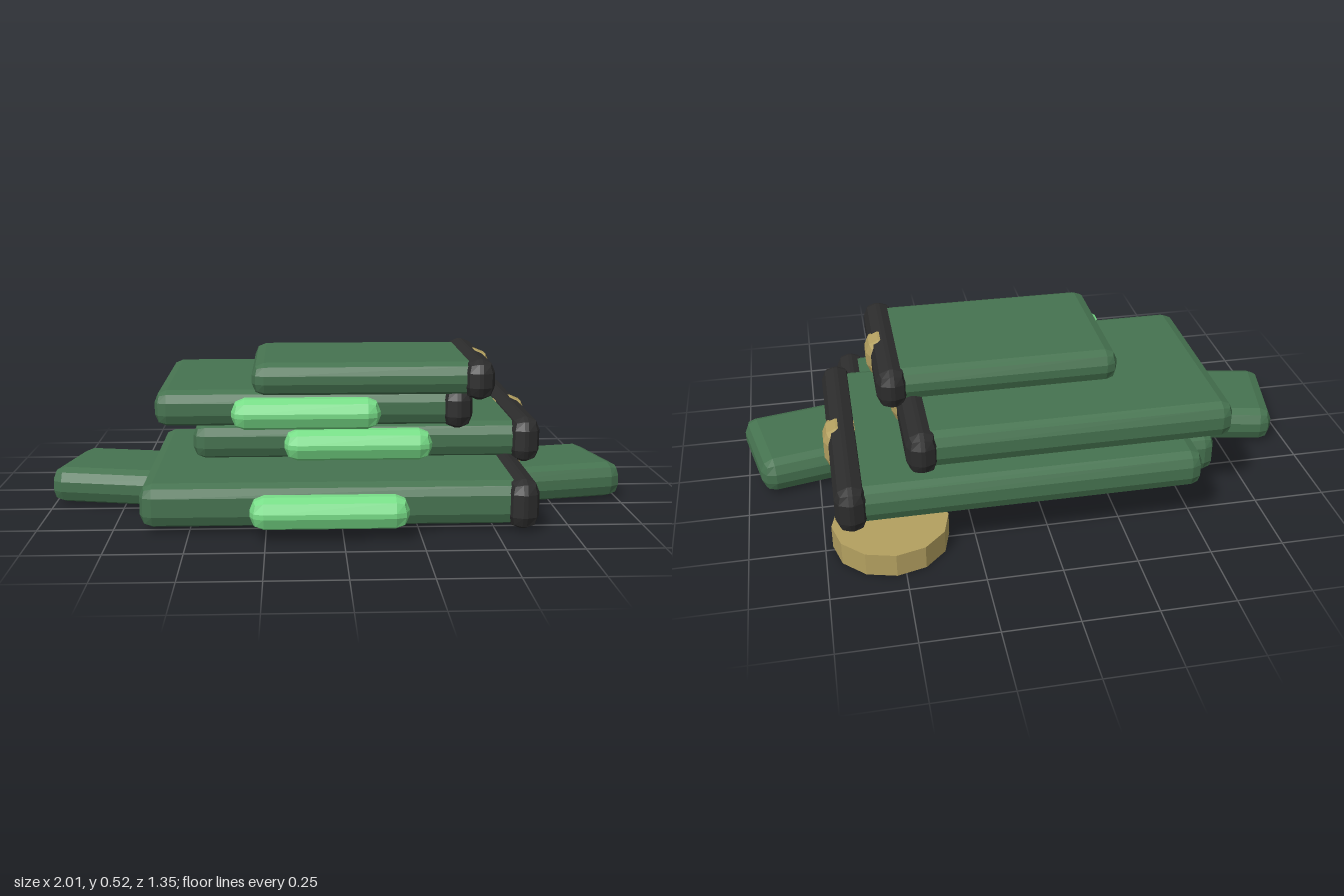
import * as THREE from 'three';
import { RoundedBoxGeometry } from 'three/addons/geometries/RoundedBoxGeometry.js';

const mat = (name, color) => {
  const m = new THREE.MeshStandardMaterial({ color });
  m.name = name;
  return m;
};

export function createModel() {
  const green = mat('cover green', 0x467350);
  const mint = mat('label mint', 0x78de88);
  const gold = mat('band gold', 0xb3a060);
  const black = mat('spine black', 0x2c2c2c);

  // Faceted box with two-step bevels, given by its min/max on each axis
  const block = (name, material, [x0, x1], [y0, y1], [z0, z1], r) => {
    let g = new RoundedBoxGeometry(x1 - x0, y1 - y0, z1 - z0, 1, r);
    if (g.index) g = g.toNonIndexed();
    g.clearGroups();
    g.computeVertexNormals();
    const m = new THREE.Mesh(g, material);
    m.name = name;
    m.position.set((x0 + x1) / 2, (y0 + y1) / 2, (z0 + z1) / 2);
    return m;
  };

  const model = new THREE.Group();
  model.name = 'bookStack';

  // left: cover edge, spine: spine centre x, y: spine range, z: spine range, label: label centre x
  const books = [
    { left: -0.66, spine: 0.59, cover: [0.016, 0.162], y: [0.005, 0.171], z: [-0.35, 0.59], label: -0.045, ly: 0.088 },
    { left: -0.51, spine: 0.657, cover: [0.16, 0.286], y: [0.143, 0.304], z: [-0.635, 0.245], label: 0.065, ly: 0.227 },
    { left: -0.64, spine: 0.415, cover: [0.28, 0.407], y: [0.27, 0.417], z: [-0.54, 0.26], label: -0.115, ly: 0.34 },
    { left: -0.3, spine: 0.482, cover: [0.396, 0.509], y: [0.38, 0.52], z: [-0.292, 0.312] },
  ];

  books.forEach((b, i) => {
    const book = new THREE.Group();
    book.name = `book${i + 1}`;
    const [z0, z1] = b.z;
    const zc = (z0 + z1) / 2;
    book.add(
      block('cover', green, [b.left, b.spine + 0.02], b.cover, [z0 + 0.026, z1 - 0.028], 0.042),
      block('spine', black, [b.spine - 0.052, b.spine + 0.052], b.y, b.z, 0.045),
      block('spineBand', gold, [b.spine - 0.055, b.spine + 0.068], [b.y[0] + 0.003, b.y[1] - 0.003], [zc - 0.077, zc + 0.077], 0.045),
    );
    if (b.label !== undefined) {
      const zf = z1 + 0.083;
      book.add(block('label', mint, [b.label - 0.255, b.label + 0.255], [b.ly - 0.053, b.ly + 0.053], [zf - 0.12, zf], 0.045));
    }
    model.add(book);
  });

  // Angled side flaps tucked under the lowest book
  for (const s of [-1, 1]) {
    const flap = block(s > 0 ? 'leftFlap' : 'rightFlap', green, [-0.315, 0.315], [0.006, 0.131], [-0.187, 0.187], 0.045);
    flap.position.x = s * 0.67;
    flap.position.z = 0.085;
    flap.rotation.y = s * 0.2;
    model.add(flap);
  }

  // Twelve-sided disc at the back
  const discGeo = new THREE.CylinderGeometry(0.195, 0.195, 0.08, 12).toNonIndexed();
  discGeo.computeVertexNormals();
  const disc = new THREE.Mesh(discGeo, gold);
  disc.name = 'disc';
  disc.position.set(0.53, 0.04, -0.48);
  model.add(disc);

  return model;
}
